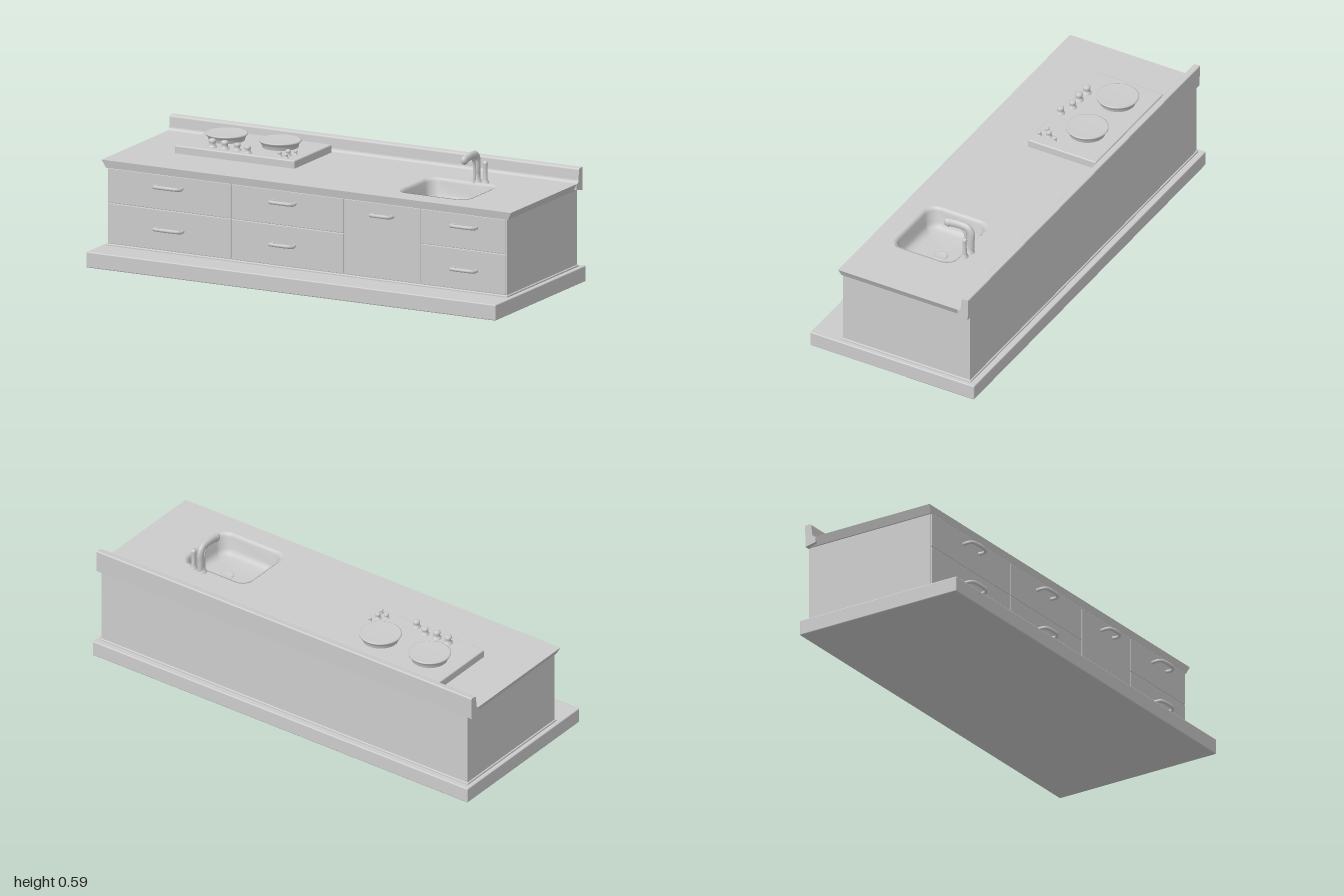
import * as THREE from 'three';
import { RoundedBoxGeometry } from 'three/addons/geometries/RoundedBoxGeometry.js';

const grey = new THREE.MeshStandardMaterial({ color: 0xcccccc });
const greyDouble = new THREE.MeshStandardMaterial({ color: 0xcccccc, side: THREE.DoubleSide });
const V = (x, y, z) => new THREE.Vector3(x, y, z);

// Sink outline: centre, half sizes and corner radius
const SINK = { x: 0.555, z: 0.015, w: 0.175, d: 0.155, r: 0.055 };

function roundedRect(cx, cy, w, d, r) {
  const s = new THREE.Path();
  s.absarc(cx + w - r, cy + d - r, r, 0, Math.PI / 2);
  s.absarc(cx - w + r, cy + d - r, r, Math.PI / 2, Math.PI);
  s.absarc(cx - w + r, cy - d + r, r, Math.PI, Math.PI * 1.5);
  s.absarc(cx + w - r, cy - d + r, r, Math.PI * 1.5, Math.PI * 2);
  return s;
}

// Horizontal slab with the sink opening cut through it
function slabWithSink(x, zBack, zFront, y0, y1) {
  const s = new THREE.Shape([[-x, -zFront], [x, -zFront], [x, -zBack], [-x, -zBack]]
    .map(p => new THREE.Vector2(...p)));
  s.holes.push(roundedRect(SINK.x, -SINK.z, SINK.w, SINK.d, SINK.r));
  return new THREE.ExtrudeGeometry(s, { depth: y1 - y0, bevelEnabled: false, curveSegments: 8 })
    .rotateX(-Math.PI / 2).translate(0, y0, 0);
}

// Bowl lofted from shrinking rounded rectangles, closed by a centre point
function bowlGeometry() {
  const levels = [[0, 0.449], [0.008, 0.446], [0.014, 0.435], [0.022, 0.385], [0.032, 0.366], [0.055, 0.358]];
  const pos = [], index = [];
  let n = 0;
  for (const [inset, y] of levels) {
    const pts = roundedRect(SINK.x, -SINK.z, SINK.w - inset, SINK.d - inset, SINK.r - inset * 0.3).getPoints(8);
    n = pts.length;
    pts.forEach(p => pos.push(p.x, y, -p.y));
  }
  pos.push(SINK.x, 0.354, SINK.z);
  const last = (levels.length - 1) * n, centre = levels.length * n;
  for (let i = 0; i < n; i++) {
    const j = (i + 1) % n;
    for (let k = 0; k < last; k += n) index.push(k + i, k + j, k + n + i, k + j, k + n + j, k + n + i);
    index.push(last + i, last + j, centre);
  }
  const g = new THREE.BufferGeometry();
  g.setAttribute('position', new THREE.Float32BufferAttribute(pos, 3));
  g.setIndex(index);
  g.computeVertexNormals();
  return g;
}

export function createModel() {
  const root = new THREE.Group();
  const add = (name, geo, x = 0, y = 0, z = 0, mat = grey) => {
    const m = new THREE.Mesh(geo, mat);
    m.name = name;
    m.position.set(x, y, z);
    root.add(m);
    return m;
  };
  const box = (name, x0, x1, y0, y1, z0, z1, r) => add(name,
    new RoundedBoxGeometry(x1 - x0, y1 - y0, z1 - z0, 2, r), (x0 + x1) / 2, (y0 + y1) / 2, (z0 + z1) / 2);
  const lathe = (name, pts, x, y, z, seg = 20) => add(name,
    new THREE.LatheGeometry(pts.map(p => new THREE.Vector2(...p)), seg), x, y, z, greyDouble);

  // Plinth, skirting and hollow cabinet
  box('plinth', -1, 1, 0, 0.07, -0.405, 0.405, 0.005);
  box('skirting', -0.981, 0.981, 0.064, 0.078, -0.378, 0.265, 0.004);
  add('cabinet', slabWithSink(0.975, -0.372, 0.257, 0.06, 0.43));

  // Drawer and door fronts, separated by fine seams
  const seams = [-0.973, -0.37, 0.18, 0.555, 0.973];
  for (let i = 0; i < 4; i++) {
    const rows = i === 2 ? [[0.08, 0.412]] : [[0.08, 0.257], [0.26, 0.412]];
    for (const [y0, y1] of rows)
      box(i === 2 ? 'door' : 'drawerFront', seams[i] + 0.0015, seams[i + 1] - 0.0015, y0, y1, 0.25, 0.261, 0.002);
  }

  // Bow handles
  const handles = [[-0.74, -0.6, 0.365], [-0.175, -0.047, 0.365], [0.318, 0.43, 0.365], [0.71, 0.84, 0.365],
    [-0.74, -0.595, 0.178], [-0.175, -0.05, 0.178], [0.71, 0.84, 0.174]];
  for (const [x0, x1, y] of handles) {
    const path = new THREE.CatmullRomCurve3([V(x0 + 0.012, y - 0.003, 0.255), V(x0 + 0.008, y - 0.003, 0.285),
      V(x0 + 0.018, y, 0.3), V(x1 - 0.018, y, 0.3), V(x1 - 0.008, y - 0.003, 0.285),
      V(x1 - 0.012, y - 0.003, 0.255)], false, 'centripetal');
    add('handle', new THREE.TubeGeometry(path, 40, 0.008, 8));
  }

  // Worktop, its lower edge drawn in toward the cabinet
  const top = slabWithSink(1, -0.372, 0.267, 0.412, 0.447);
  const p = top.attributes.position;
  for (let i = 0; i < p.count; i++) {
    if (p.getY(i) > 0.43) continue;
    if (Math.abs(p.getX(i)) > 0.9) p.setX(i, p.getX(i) * 0.982);
    if (p.getZ(i) > 0.2) p.setZ(i, 0.26);
  }
  top.computeVertexNormals();
  add('worktop', top);

  // Backsplash profile in z and y, run along x
  const splash = new THREE.Shape();
  splash.moveTo(0.374, 0.41);
  splash.lineTo(0.376, 0.508);
  splash.quadraticCurveTo(0.375, 0.513, 0.37, 0.513);
  splash.lineTo(0.351, 0.511);
  splash.quadraticCurveTo(0.344, 0.511, 0.343, 0.503);
  splash.lineTo(0.34, 0.462);
  splash.quadraticCurveTo(0.338, 0.447, 0.323, 0.446);
  splash.lineTo(0.323, 0.42);
  add('backsplash', new THREE.ExtrudeGeometry(splash, { depth: 2, bevelEnabled: false, curveSegments: 5 })
    .rotateY(Math.PI / 2).translate(-1, 0, 0));

  // Hob plate and flared burners
  box('hobPlate', -0.78, -0.195, 0.44, 0.482, -0.322, 0.015, 0.006);
  for (const x of [-0.632, -0.37])
    lathe('burner', [[0.078, 0], [0.081, 0.012], [0.085, 0.022], [0.092, 0.027], [0.092, 0.032], [0.086, 0.034],
      [0.083, 0.031], [0, 0.031]], x, 0.481, -0.18, 40);

  // Control knobs and small buttons
  for (const [x, z, s] of [[-0.622, -0.033, 1], [-0.56, -0.03, 1], [-0.5, -0.033, 0.9], [-0.437, -0.01, 0.9],
    [-0.247, -0.09, 0.5], [-0.262, -0.052, 0.75], [-0.29, -0.028, 0.6], [-0.25, -0.012, 0.55]])
    lathe('knob', [[0.021, 0], [0.02, 0.007], [0.013, 0.011], [0.014, 0.022], [0.017, 0.026], [0.016, 0.034],
      [0.01, 0.038], [0, 0.038]], x, 0.481, z, 16).scale.setScalar(s);

  // Sink bowl and drain
  add('sinkBowl', bowlGeometry(), 0, 0, 0, greyDouble);
  lathe('drain', [[0.032, 0], [0.03, 0.004], [0.024, 0.004], [0.02, 0.001], [0, 0.001]], 0.582, 0.356, 0.0, 24);

  // Tap: curved spout, slim in x, with rounded tip and foot
  const spout = new THREE.CatmullRomCurve3([V(0, 0.44, -0.158), V(0, 0.5, -0.16), V(0, 0.545, -0.161),
    V(0, 0.566, -0.148), V(0, 0.572, -0.12), V(0, 0.571, -0.08), V(0, 0.566, -0.05)]);
  add('tapSpout', new THREE.TubeGeometry(spout, 36, 0.018, 14), 0.602).scale.x = 0.75;
  add('tapTip', new THREE.SphereGeometry(0.02, 16, 12), 0.602, 0.565, -0.049).scale.x = 0.72;
  const foot = [[0.024, 0], [0.022, 0.008], [0.015, 0.018], [0.012, 0.04]];
  lathe('tapFoot', foot, 0.602, 0.446, -0.155);

  // Lever post beside the spout and a slim pipe in front of it
  lathe('leverPost', [[0.018, 0], [0.016, 0.008], [0.01, 0.02], [0.009, 0.075], [0.012, 0.085], [0.011, 0.095],
    [0, 0.1]], 0.645, 0.446, -0.155, 16);
  const pipe = new THREE.CatmullRomCurve3([V(0.602, 0.445, -0.138), V(0.602, 0.51, -0.138),
    V(0.602, 0.54, -0.133), V(0.602, 0.56, -0.12)]);
  add('tapPipe', new THREE.TubeGeometry(pipe, 16, 0.007, 8));
  return root;
}
